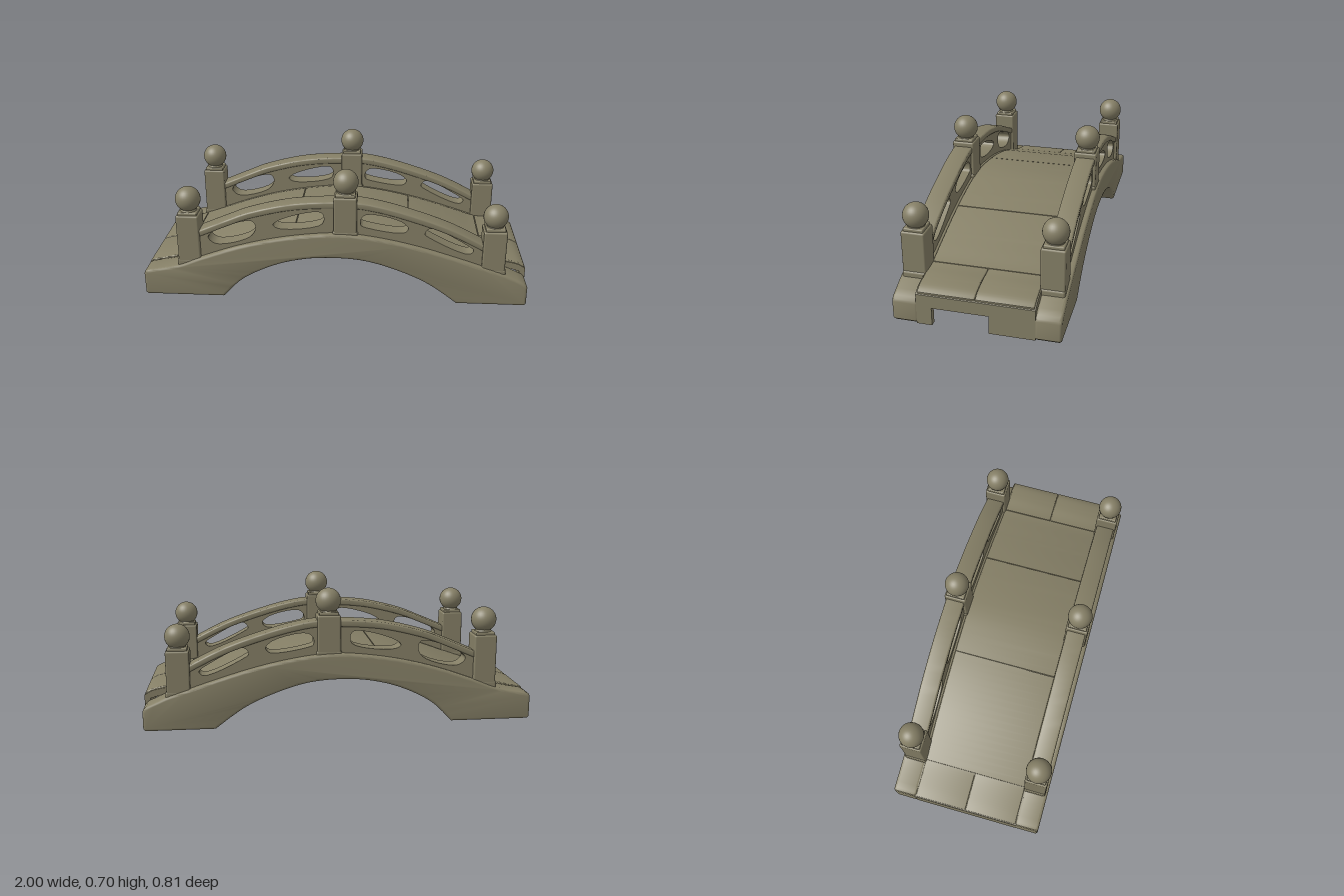
import * as THREE from 'three';
import { toCreasedNormals } from 'three/addons/utils/BufferGeometryUtils.js';
import { RoundedBoxGeometry } from 'three/addons/geometries/RoundedBoxGeometry.js';

const V = (x, y) => new THREE.Vector2(x, y);

// Smooth height curve y(x) through a few points
function heightCurve(pairs) {
  const pts = new THREE.SplineCurve(pairs.map(p => V(...p))).getPoints(120);
  return x => {
    let i = 1;
    while (i < pts.length - 1 && pts[i].x < x) i++;
    const a = pts[i - 1], b = pts[i];
    return a.y + (b.y - a.y) * THREE.MathUtils.clamp((x - a.x) / (b.x - a.x), 0, 1);
  };
}

const curbTop = heightCurve([[-1, 0.137], [-0.82, 0.172], [-0.7, 0.218], [-0.5, 0.288], [-0.3, 0.338], [-0.1, 0.368],
  [0.06, 0.375], [0.25, 0.352], [0.45, 0.308], [0.65, 0.248], [0.78, 0.205], [0.88, 0.172], [1, 0.118]]);
const deckTop = heightCurve([[-1, 0.135], [-0.95, 0.15], [-0.82, 0.18], [-0.7, 0.22], [-0.5, 0.29], [-0.3, 0.34], [-0.1, 0.37],
  [0.06, 0.378], [0.25, 0.355], [0.45, 0.31], [0.65, 0.25], [0.78, 0.21], [0.88, 0.203], [0.96, 0.188], [1, 0.165]]);
const railTop = heightCurve([[-0.76, 0.34], [-0.55, 0.43], [-0.42, 0.48], [-0.2, 0.53], [0.06, 0.546],
  [0.2, 0.533], [0.38, 0.487], [0.6, 0.41], [0.82, 0.3]]);
const archUnder = [[-0.58, 0], [-0.47, 0.107], [-0.31, 0.188], [-0.15, 0.23], [0.01, 0.241],
  [0.17, 0.227], [0.33, 0.18], [0.49, 0.107], [0.64, 0]];

// Points along a height curve from x0 to x1
function along(curve, x0, x1, dy = 0, n = 40) {
  return Array.from({ length: n + 1 }, (_, i) => {
    const x = x0 + (x1 - x0) * i / n;
    return V(x, curve(x) + dy);
  });
}

// Band that follows a height curve
const band = (curve, x0, x1, top, bottom, n) =>
  [...along(curve, x0, x1, bottom, n), ...along(curve, x1, x0, top, n)];

// Side profile extruded across z, centred on z = 0
function slab(points, width, bevel = 0, holes = []) {
  const shape = new THREE.Shape(points);
  shape.holes = holes.map(h => new THREE.Path(h));
  const g = new THREE.ExtrudeGeometry(shape, {
    depth: width - 2 * bevel, bevelEnabled: bevel > 0, bevelSize: bevel,
    bevelThickness: bevel, bevelOffset: -bevel, bevelSegments: 3,
  });
  g.translate(0, 0, -(width - 2 * bevel) / 2);
  return toCreasedNormals(g, 0.6);
}

// Rounded openings of the railing
const openings = [
  [[-0.65, 0.33], [-0.61, 0.295], [-0.43, 0.34], [-0.4, 0.395], [-0.42, 0.428], [-0.62, 0.365]],
  [[-0.31, 0.41], [-0.26, 0.445], [-0.07, 0.487], [-0.05, 0.465], [-0.06, 0.42], [-0.28, 0.39]],
  [[0.14, 0.42], [0.14, 0.455], [0.17, 0.48], [0.34, 0.447], [0.38, 0.41], [0.36, 0.385], [0.16, 0.41]],
  [[0.465, 0.38], [0.49, 0.412], [0.66, 0.337], [0.715, 0.295], [0.69, 0.275], [0.49, 0.36]],
].map(h => new THREE.CatmullRomCurve3(h.map(p => new THREE.Vector3(p[0], p[1], 0)), true)
  .getPoints(32).slice(0, -1).map(p => V(p.x, p.y)));

export function createModel() {
  const stone = new THREE.MeshStandardMaterial({ color: 0x857f66 });
  stone.name = 'weathered stone';
  const model = new THREE.Group();
  model.name = 'footbridge';

  const add = (name, geometry, x = 0, y = 0, z = 0, parent = model) => {
    const mesh = new THREE.Mesh(geometry, stone);
    mesh.name = name;
    mesh.position.set(x, y, z);
    parent.add(mesh);
    return mesh;
  };

  // Shared side geometries, the arch with softened end corners
  const under = new THREE.SplineCurve(archUnder.map(p => V(...p))).getPoints(48);
  const archGeo = slab([V(-1, 0.01), V(-0.99, 0), ...under, V(0.99, 0), V(1, 0.01), V(1, 0.1), V(0.995, 0.113),
    ...along(curbTop, 0.98, -0.98, 0, 60), V(-0.995, 0.132), V(-1, 0.12)], 0.128, 0.014);
  const panelGeo = slab([...along(curbTop, -0.75, 0.81, -0.02), ...along(railTop, 0.81, -0.75, -0.015)], 0.085, 0, openings);
  const beamGeo = slab(band(railTop, -0.75, 0.81, 0, -0.035), 0.1, 0.008);
  // Posts: x, foot height, shoulder height, ball centre, ball radius
  const posts = [[-0.752, 0.15, 0.45, 0.526, 0.065], [0.06, 0.33, 0.57, 0.639, 0.064], [0.819, 0.14, 0.405, 0.471, 0.063]];

  for (const s of [1, -1]) {
    const side = new THREE.Group();
    side.name = s > 0 ? 'frontSide' : 'backSide';
    side.position.z = s * 0.3425;
    model.add(side);
    add('arch', archGeo, 0, 0, 0, side);
    const rail = -s * 0.0075;
    add('railingPanel', panelGeo, 0, 0, rail, side);
    add('railingBeam', beamGeo, 0, 0, rail, side);

    for (const [x, foot, top, ballY, r] of posts) {
      const post = new THREE.Group();
      post.name = 'post';
      post.position.set(x, 0, rail);
      side.add(post);
      add('postBody', new RoundedBoxGeometry(0.118, top - foot, 0.118, 2, 0.009), 0, (top + foot) / 2, 0, post);
      add('postFoot', new RoundedBoxGeometry(0.13, 0.06, 0.12, 2, 0.012), 0, foot + 0.03, 0, post);
      add('collar', new RoundedBoxGeometry(0.1, 0.028, 0.1, 2, 0.006), 0, top + 0.001, 0, post);
      add('neck', new THREE.CylinderGeometry(0.036, 0.046, 0.02, 24), 0, top + 0.02, 0, post);
      add('ball', new THREE.SphereGeometry(r, 32, 20), 0, ballY, 0, post);
    }
  }

  // Thin hollow deck bed with an end wall at each end
  const bed = [V(-1, 0), V(-0.97, 0), ...along(deckTop, -0.97, 0.97, -0.045, 60),
    V(0.97, 0.092), V(1, 0.092), ...along(deckTop, 1, -1, -0.008, 60)];
  add('deckBed', slab(bed, 0.57));
  for (const [z0, z1] of [[0.21, 0.285], [-0.285, -0.065]]) {
    add('endWall', new THREE.BoxGeometry(0.03, 0.1, z1 - z0), 0.985, 0.05, (z0 + z1) / 2);
  }

  // Paving slabs with open joints, the end ones in two halves
  const joints = [-0.997, -0.8, -0.21, 0.39, 0.78, 0.997];
  for (let i = 0; i < joints.length - 1; i++) {
    const points = band(deckTop, joints[i] + 0.002, joints[i + 1] - 0.002, 0, -0.03, 16);
    const halved = i === 0 || i === joints.length - 2;
    for (const z of halved ? [-0.14, 0.14] : [0]) {
      add('pavingSlab', slab(points, halved ? 0.278 : 0.56, 0.005), 0, 0, z);
    }
  }

  // Raised ribs under the deck
  for (const z of [-0.272, -0.14, 0, 0.14, 0.272]) {
    add('lengthwiseRib', slab(band(deckTop, -0.9, 0.9, -0.04, -0.06), 0.018), 0, 0, z);
  }
  for (let x = -0.85; x < 0.9; x += 0.2) {
    const rib = add('crosswiseRib', new THREE.BoxGeometry(0.018, 0.02, 0.56), x, deckTop(x) - 0.05, 0);
    rib.rotation.z = Math.atan2(deckTop(x + 0.02) - deckTop(x - 0.02), 0.04);
  }
  return model;
}
